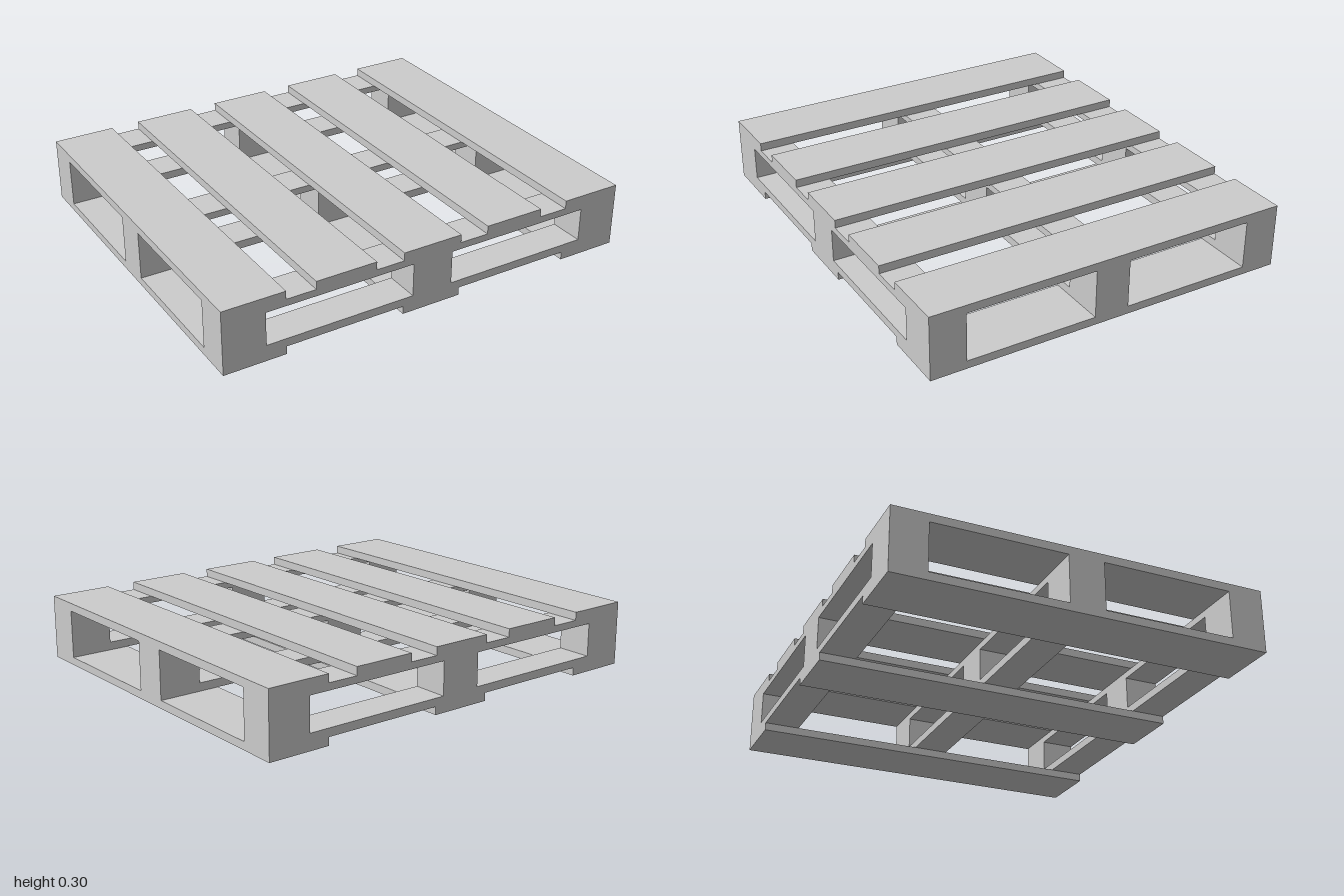
import * as THREE from 'three';

export function createModel() {
  const pallet = new THREE.Group();
  pallet.name = 'pallet';
  const material = new THREE.MeshStandardMaterial({ color: 0xcccccc, flatShading: true });

  // Box given by its extents on each axis
  function plank(name, [x0, x1], [y0, y1], [z0, z1]) {
    const mesh = new THREE.Mesh(new THREE.BoxGeometry(x1 - x0, y1 - y0, z1 - z0), material);
    mesh.position.set((x0 + x1) / 2, (y0 + y1) / 2, (z0 + z1) / 2);
    mesh.name = name;
    pallet.add(mesh);
  }

  const depth = [-0.863, 0.863];
  const deckX = [[-1, -0.71], [-0.572, -0.283], [-0.148, 0.141], [0.28, 0.569], [0.71, 1]];
  const rowZ = [[-0.863, -0.697], [-0.08, 0.086], [0.697, 0.863]];
  const blockX = [[-1, -0.803], [-0.099, 0.098], [0.803, 1]];

  // Five deck boards on top, three runners underneath
  deckX.forEach((x, i) => {
    plank('deckBoard', x, [0.262, 0.3], depth);
    if (i % 2 === 0) plank('bottomRunner', x, [0, 0.037], depth);
  });

  // Three cross rows: lower rail, spacer blocks, upper rail
  for (const z of rowZ) {
    plank('lowerRail', [-1, 1], [0.037, 0.075], z);
    for (const x of blockX) plank('spacerBlock', x, [0.075, 0.23], z);
    plank('upperRail', [-1, 1], [0.23, 0.262], z);
  }

  return pallet;
}
